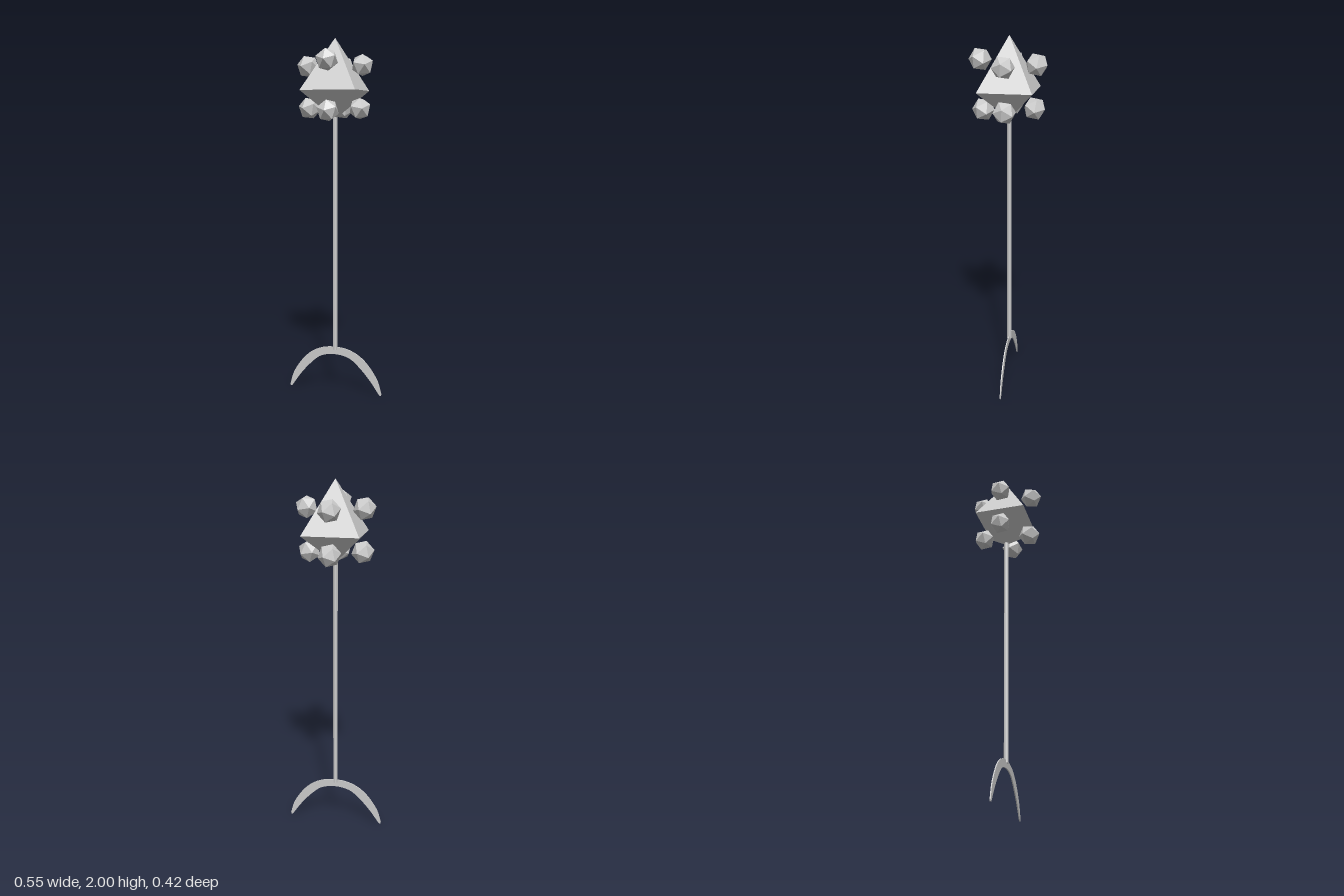
import * as THREE from 'three';

const AXIS_Z = -0.008; // the staff stands slightly behind the centre

export function createModel() {
  const group = new THREE.Group();
  const flat = new THREE.MeshStandardMaterial({ color: 0xcccccc, flatShading: true });

  function add(name, geometry, x, y, z) {
    const mesh = new THREE.Mesh(geometry, flat);
    mesh.name = name;
    mesh.position.set(x, y, z);
    group.add(mesh);
    return mesh;
  }

  // Shaft
  add('shaft', new THREE.CylinderGeometry(0.013, 0.013, 1.34, 8), 0, 0.92, AXIS_Z);

  // Crystal head: a tall pyramid above a short inverted one
  function pyramid(height) {
    return new THREE.ConeGeometry(Math.SQRT2, height, 4, 1, true)
      .rotateY(Math.PI / 4).scale(0.154, 1, 0.145);
  }
  add('crystalTop', pyramid(0.28), 0, 1.86, AXIS_Z);
  add('crystalBottom', pyramid(0.155).rotateX(Math.PI), 0, 1.6425, AXIS_Z);

  // Orbiting gems: [name, x, y, z, yaw, roll]
  const gems = [
    ['upperFrontGem', 0.003, 1.875, 0.147, 0, 0],
    ['upperBackGem', 0.002, 1.852, -0.153, -0.36, 0.08],
    ['upperLeftGem', 0.155, 1.852, -0.004, 0.45, 0.1],
    ['upperRightGem', -0.154, 1.85, -0.002, -0.36, 0.1],
    ['lowerFrontGem', 0.003, 1.612, 0.132, 0, 0],
    ['lowerBackGem', 0.002, 1.625, -0.144, -0.36, 0.08],
    ['lowerLeftGem', 0.141, 1.622, -0.008, 0.45, 0.1],
    ['lowerRightGem', -0.147, 1.625, -0.004, -0.36, 0.1],
  ];
  // turned so that two opposite corners lie on the z axis
  const gemGeometry = new THREE.IcosahedronGeometry(0.0625).rotateX(-0.5536);
  for (const [name, x, y, z, yaw, roll] of gems) {
    add(name, gemGeometry, x, y, z).rotation.set(0, yaw, roll);
  }

  // Crescent foot: outer arc one way, inner arc back, narrow rounded tips
  const mirror = (half) => [
    ...half.map(([x, y]) => new THREE.Vector2(-x, y)),
    ...half.slice(0, -1).reverse().map(([x, y]) => new THREE.Vector2(x, y)),
  ];
  const outer = mirror([[0.277, 0.012], [0.248, 0.1], [0.177, 0.197], [0.095, 0.25], [0, 0.266]]);
  const inner = mirror([[0.262, 0.008], [0.21, 0.083], [0.15, 0.152], [0.085, 0.205], [0, 0.222]]).reverse();
  const shape = new THREE.Shape();
  shape.moveTo(outer[0].x, outer[0].y);
  shape.splineThru(outer.slice(1));
  shape.quadraticCurveTo(0.274, -0.008, inner[0].x, inner[0].y);
  shape.splineThru(inner.slice(1));
  shape.quadraticCurveTo(-0.274, -0.008, outer[0].x, outer[0].y);
  const crescent = new THREE.ExtrudeGeometry(shape, { depth: 0.006, bevelEnabled: false, curveSegments: 6 });
  add('crescentFoot', crescent, 0, 0, AXIS_Z - 0.003);

  return group;
}
